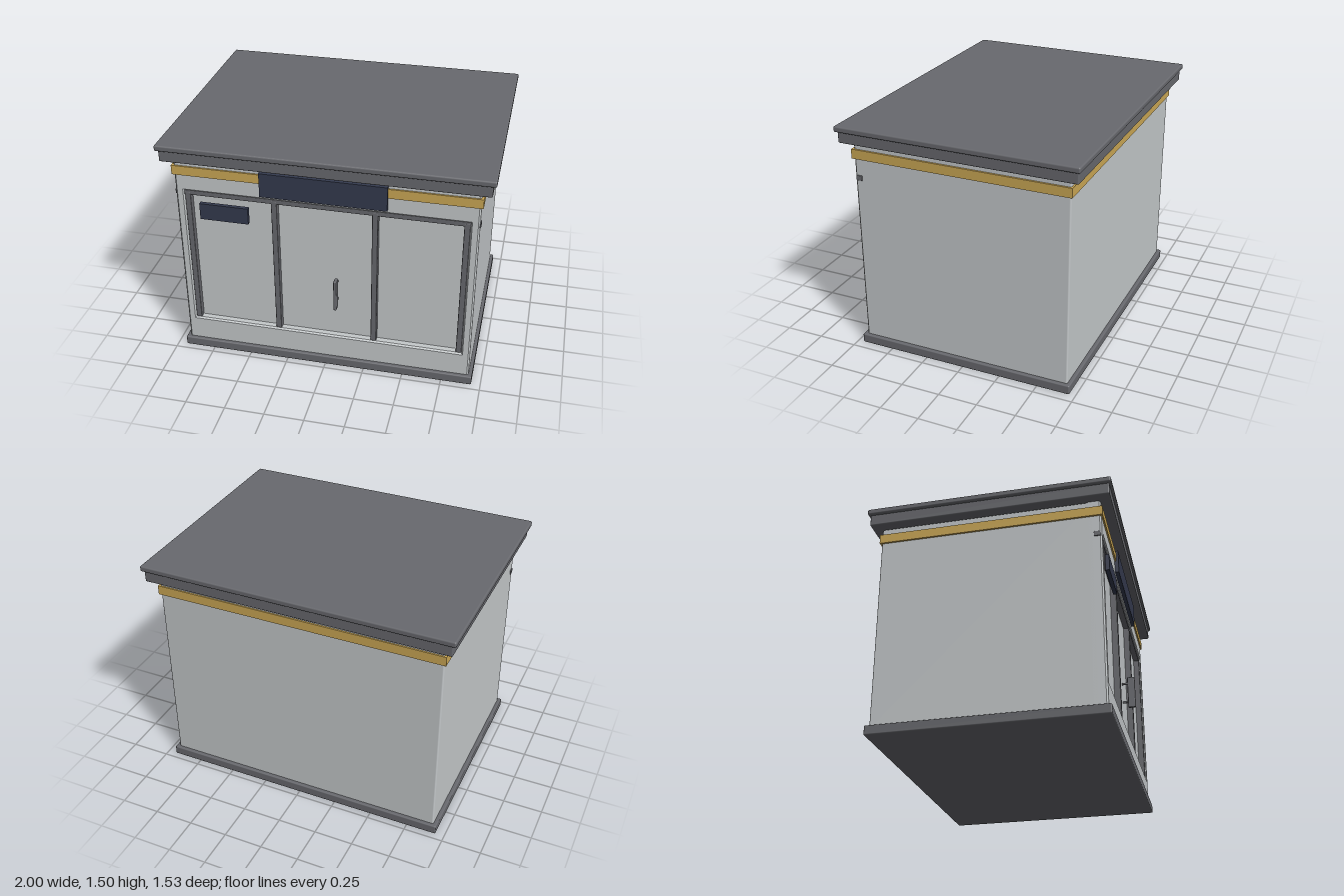
import * as THREE from 'three';
import { RoundedBoxGeometry } from 'three/addons/geometries/RoundedBoxGeometry.js';

const material = (name, color) => {
  const m = new THREE.MeshStandardMaterial({ color });
  m.name = name;
  return m;
};

export function createModel() {
  const model = new THREE.Group();
  model.name = 'kiosk';

  const wall = material('light grey wall', 0xc5c9cb);
  const trim = material('dark grey trim', 0x68696e);
  const gold = material('gold band', 0xcca855);
  const navy = material('navy sign', 0x343a4e);

  // Box given by its limits on each axis, with an optional edge radius
  function box(name, mat, [x0, x1], [y0, y1], [z0, z1], radius = 0) {
    const size = [x1 - x0, y1 - y0, z1 - z0];
    const geometry = radius
      ? new RoundedBoxGeometry(...size, 2, radius)
      : new THREE.BoxGeometry(...size);
    const mesh = new THREE.Mesh(geometry, mat);
    mesh.name = name;
    mesh.position.set((x0 + x1) / 2, (y0 + y1) / 2, (z0 + z1) / 2);
    model.add(mesh);
    return mesh;
  }
  const span = (h) => [-h, h];

  // Plinth and main block; the front of the block is the recessed panel
  box('plinth', trim, span(0.943), [0, 0.06], span(0.712), 0.008);
  box('body', wall, span(0.92), [0.04, 1.385], [-0.69, 0.645], 0.01);

  // Front wall with a bevelled opening
  const rect = (S, x, y0, y1) => new S([
    new THREE.Vector2(-x, y0), new THREE.Vector2(x, y0),
    new THREE.Vector2(x, y1), new THREE.Vector2(-x, y1),
  ]);
  const face = rect(THREE.Shape, 0.92, 0.04, 1.385);
  face.holes.push(rect(THREE.Path, 0.865, 0.22, 1.17));
  const bevel = 0.01;
  const frontWall = new THREE.Mesh(new THREE.ExtrudeGeometry(face, {
    depth: 0.07, bevelEnabled: true, bevelSegments: 1,
    bevelSize: bevel, bevelThickness: bevel, bevelOffset: -bevel,
  }), wall);
  frontWall.name = 'frontWall';
  frontWall.position.z = 0.61;
  model.add(frontWall);

  // Window frame: head bar just breaking through the side walls, four posts
  box('frameHead', trim, span(0.925), [1.14, 1.173], [0.642, 0.683], 0.004);
  for (const x of [-0.848, -0.308, 0.308, 0.848]) {
    box('framePost', trim, [x - 0.018, x + 0.018], [0.22, 1.16], [0.64, 0.684], 0.005);
  }

  // Door handle on two standoffs
  box('doorHandle', trim, [0.062, 0.082], [0.45, 0.663], [0.68, 0.729], 0.006);
  for (const y of [0.49, 0.62]) {
    box('handleStandoff', trim, [0.067, 0.077], [y - 0.006, y + 0.006], [0.64, 0.69]);
  }

  // Band round the walls, blank sign and notice
  box('band', gold, span(0.932), [1.28, 1.34], span(0.7));
  box('sign', navy, span(0.384), [1.2, 1.357], [0.68, 0.715]);
  box('notice', navy, [-0.77, -0.465], [0.992, 1.1], [0.682, 0.707]);

  // Two-step roof
  box('roofFascia', trim, span(0.98), [1.388, 1.465], span(0.753), 0.008);
  box('roofCap', trim, span(1), [1.46, 1.497], span(0.767), 0.01);

  return model;
}
